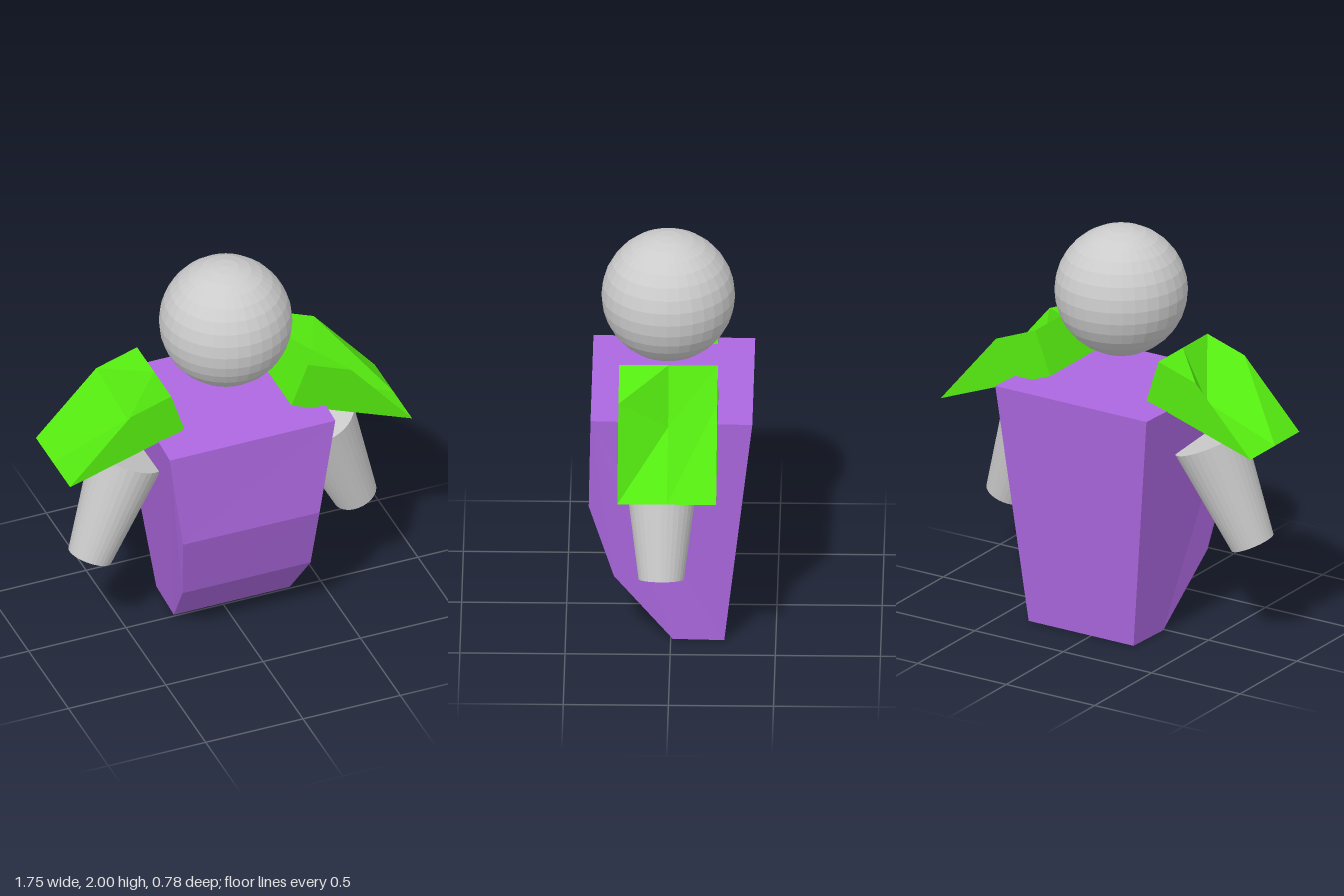
import * as THREE from 'three';

const material = (color) => new THREE.MeshStandardMaterial({ color, flatShading: true });
const grey = material(0xcccccc);
const purple = material(0xad68e0);
const green = material(0x55ea10);

function part(name, geometry, mat) {
  const mesh = new THREE.Mesh(geometry, mat);
  mesh.name = name;
  return mesh;
}

// Closed solid through rings of points; each ring runs clockwise seen from the last ring's end
function loft(rings) {
  const n = rings[0].length, index = [];
  for (let r = 0; r < rings.length - 1; r++) {
    for (let i = 0; i < n; i++) {
      const p = r * n + i, q = r * n + (i + 1) % n;
      index.push(p, p + n, q + n, p, q + n, q);
    }
  }
  const last = (rings.length - 1) * n;
  for (let k = 1; k < n - 1; k++) {
    index.push(0, k, k + 1, last, last + k + 1, last + k);
  }
  const indexed = new THREE.BufferGeometry();
  indexed.setAttribute('position', new THREE.Float32BufferAttribute(rings.flat(2), 3));
  indexed.setIndex(index);
  const geometry = indexed.toNonIndexed();
  geometry.computeVertexNormals();
  return geometry;
}

// Torso: side outlines at its right and left, slightly turned
function torso() {
  const right = [[-0.43, 1.22, 0.38], [-0.40, 1.225, -0.39], [-0.24, 0, -0.255],
    [-0.25, 0, -0.01], [-0.32, 0.335, 0.27], [-0.365, 0.71, 0.385]];
  const left = [[0.42, 1.22, 0.38], [0.455, 1.225, -0.39], [0.353, 0, -0.255],
    [0.345, 0, -0.01], [0.338, 0.335, 0.27], [0.335, 0.71, 0.39]];
  return part('torso', loft([right, left]), purple);
}

// Shoulder pad: outline swept back to front, its outer bend pressed in halfway
function shoulderPad(name, outline, pressed, zBack, zFront) {
  const zMid = (zBack + zFront) / 2;
  const rings = [zBack, zMid, zFront].map((z) => {
    const ring = outline.map(([x, y], i) => {
      const [px, py] = z === zMid && i === 1 ? pressed : [x, y];
      return [px, py, z];
    });
    return outline[0][0] > 0 ? ring : ring.reverse();
  });
  return part(name, loft(rings), green);
}

// Arm: tapered cylinder from the shoulder to the open end
function arm(name, top, bottom) {
  const a = new THREE.Vector3(...top), b = new THREE.Vector3(...bottom);
  const axis = a.clone().sub(b);
  const mesh = part(name, new THREE.CylinderGeometry(0.178, 0.108, axis.length(), 32), grey);
  mesh.position.copy(a).add(b).multiplyScalar(0.5);
  mesh.quaternion.setFromUnitVectors(new THREE.Vector3(0, 1, 0), axis.normalize());
  return mesh;
}

export function createModel() {
  const model = new THREE.Group();
  model.name = 'figure';

  const head = part('head', new THREE.SphereGeometry(0.318, 32, 16), grey);
  head.position.set(0.005, 1.682, 0.017);

  model.add(
    head,
    torso(),
    shoulderPad('leftShoulderPad',
      [[0.335, 1.48], [0.557, 1.39], [0.87, 1.018], [0.25, 1.265]], [0.455, 1.21], -0.225, 0.245),
    shoulderPad('rightShoulderPad',
      [[-0.355, 1.465], [-0.565, 1.40], [-0.875, 1.075], [-0.288, 1.253]], [-0.49, 1.215], -0.215, 0.215),
    arm('leftArm', [0.473, 0.995, 0.04], [0.66, 0.4975, 0.04]),
    arm('rightArm', [-0.5, 1.02, 0.01], [-0.71, 0.525, 0.06]),
  );
  return model;
}
